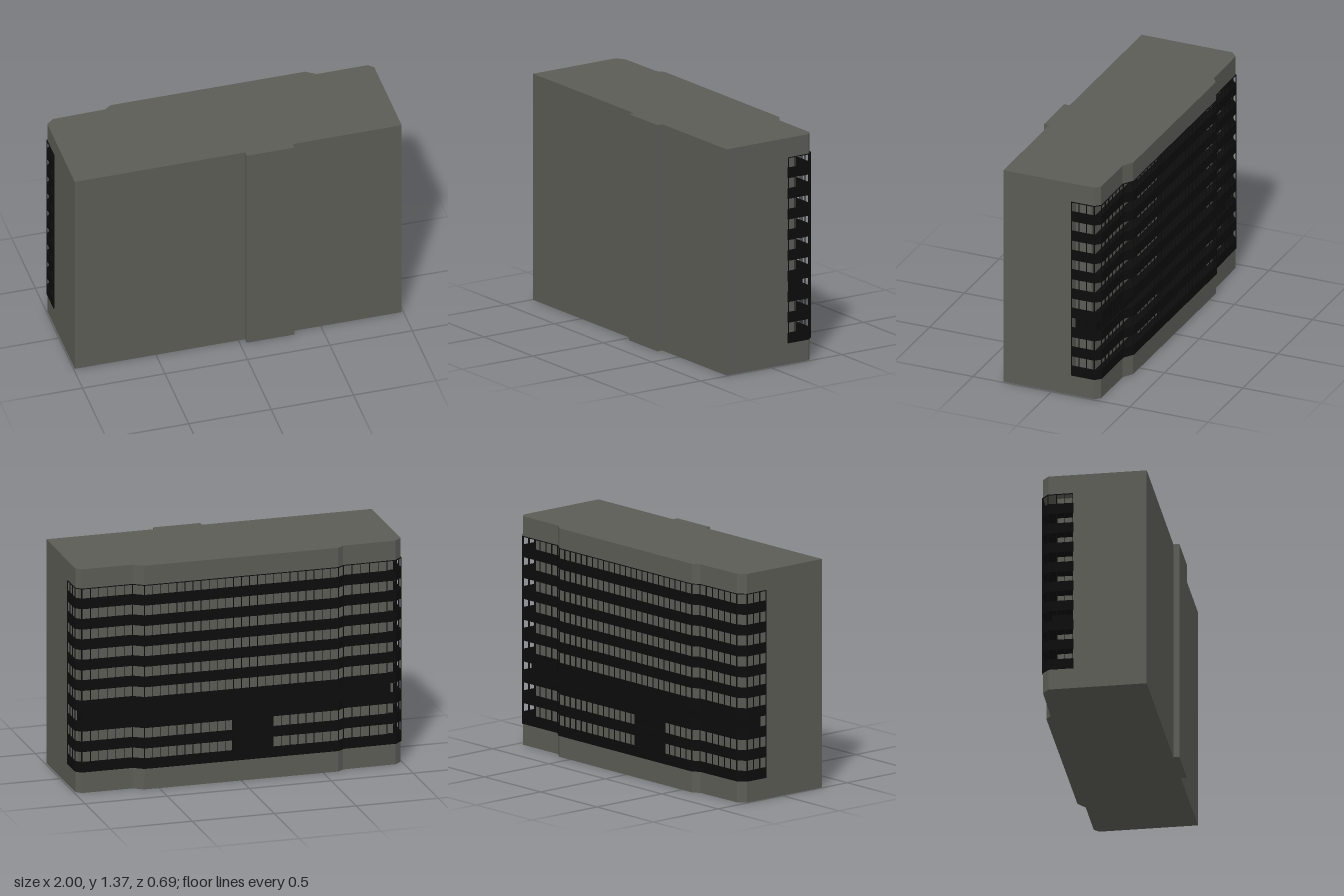
import * as THREE from 'three';

const concrete = new THREE.MeshStandardMaterial({ color: 0x5c5c56 });
concrete.name = 'concreteGrey';
const black = new THREE.MeshStandardMaterial({ color: 0x0c0c0c });
black.name = 'spandrelBlack';

// Rear outline of the tower as [x, z], from the right side round to the left
const rear = [
  [0.99, -0.125], [0.99, -0.27], [0.96, -0.3], [0.65, -0.3], [0.59, -0.34],
  [-0.59, -0.343], [-0.63, -0.313], [-0.95, -0.308], [-0.993, -0.27], [-0.993, -0.125],
];
const FLOORS = 9, BASE = 0.127, STOREY = 0.125, BAND = 0.063, TOP = BASE + FLOORS * STOREY;

function box(parent, name, material, x0, x1, y0, y1, z0, z1) {
  const mesh = new THREE.Mesh(new THREE.BoxGeometry(x1 - x0, y1 - y0, z1 - z0), material);
  mesh.position.set((x0 + x1) / 2, (y0 + y1) / 2, (z0 + z1) / 2);
  mesh.name = name;
  parent.add(mesh);
}

// Horizontal plate with the given plan outline
function plate(parent, name, material, outline, y0, y1) {
  const shape = new THREE.Shape(outline.map(([x, z]) => new THREE.Vector2(x, -z)));
  const geometry = new THREE.ExtrudeGeometry(shape, { depth: y1 - y0, bevelEnabled: false });
  geometry.rotateX(-Math.PI / 2);
  const mesh = new THREE.Mesh(geometry, material);
  mesh.position.y = y0;
  mesh.name = name;
  parent.add(mesh);
}

export function createModel() {
  const tower = new THREE.Group();
  tower.name = 'officeTower';

  // Base and roof follow the whole plan
  const plan = [...rear, [-0.993, 0.31], [0.99, 0.31]];
  plate(tower, 'base', concrete, plan, 0, BASE);
  plate(tower, 'roof', concrete, plan, TOP, 1.37);

  // Blind front half, stair shaft and recessed rear wall
  box(tower, 'frontBlock', concrete, -0.993, 0.99, BASE, TOP, -0.125, 0.31);
  box(tower, 'stairShaft', concrete, 0.04, 0.33, 0, 1.37, 0.3, 0.345);
  box(tower, 'innerWall', concrete, -0.93, 0.93, BASE, TOP, -0.225, -0.12);
  box(tower, 'innerCore', concrete, 0.04, 0.33, BASE, TOP, -0.255, -0.22);
  box(tower, 'innerPier', concrete, -0.75, -0.65, BASE, TOP, -0.255, -0.22);

  // Dark plant floor and lobby panel on the recessed wall
  const plantY = BASE + 2 * STOREY;
  box(tower, 'plantFloor', black, -0.935, 0.935, plantY, plantY + STOREY, -0.258, -0.12);
  box(tower, 'lobbyPanel', black, -0.22, 0.02, BASE, plantY, -0.258, -0.22);

  // Thin floor slabs
  for (let f = 0; f < FLOORS; f++) {
    const y = BASE + f * STOREY;
    plate(tower, 'floorSlab', black, rear, y, y + 0.006);
  }

  // Spandrel bands and mullions along each face of the rear outline
  const facade = new THREE.Group();
  facade.name = 'facade';
  tower.add(facade);
  for (let i = 0; i < rear.length - 1; i++) {
    const [x0, z0] = rear[i], [x1, z1] = rear[i + 1];
    const length = Math.hypot(x1 - x0, z1 - z0);
    const face = new THREE.Group();
    face.name = 'facadeFace';
    face.position.set((x0 + x1) / 2, 0, (z0 + z1) / 2);
    face.rotation.y = Math.atan2(z0 - z1, x1 - x0);
    facade.add(face);
    for (let f = 0; f < FLOORS; f++) {
      const y = BASE + f * STOREY;
      box(face, 'spandrel', black, -length / 2 - 0.002, length / 2 + 0.002, y, y + BAND, -0.003, 0.005);
    }
    const bays = Math.max(1, Math.round(length / 0.05));
    for (let b = 0; b <= bays; b++) {
      const x = -length / 2 + (length * b) / bays;
      box(face, 'mullion', black, x - 0.0015, x + 0.0015, BASE, TOP, 0, 0.006);
    }
    box(face, 'headRail', black, -length / 2, length / 2, TOP - 0.004, TOP, 0, 0.005);
  }
  return tower;
}
